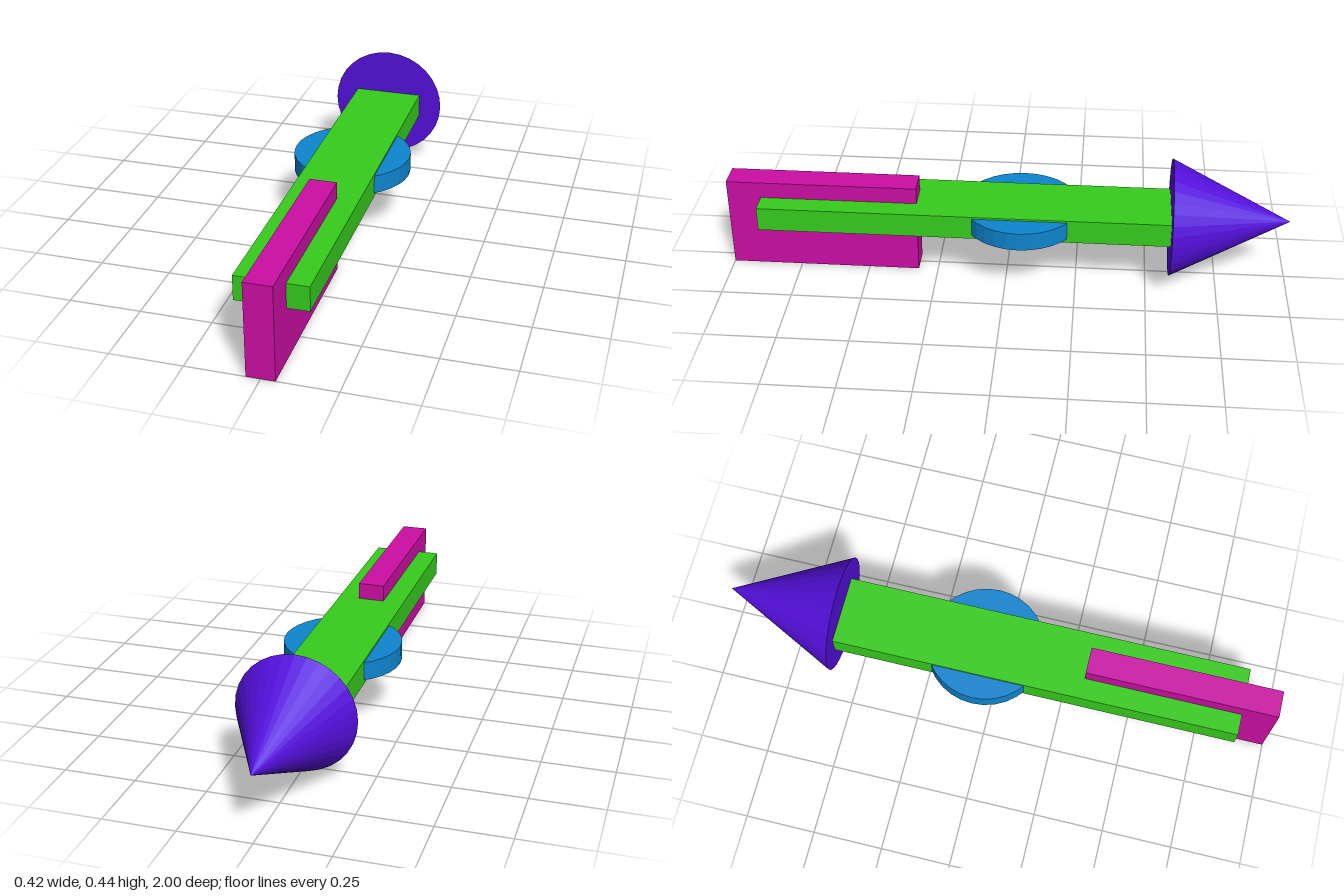
import * as THREE from 'three';

export function createModel() {
  const model = new THREE.Group();

  const add = (name, geometry, color, x, y, z) => {
    const material = new THREE.MeshStandardMaterial({ color, flatShading: true });
    const mesh = new THREE.Mesh(geometry, material);
    mesh.name = name;
    mesh.position.set(x, y, z);
    model.add(mesh);
    return mesh;
  };

  // long flat beam running from the fin to the pointed head
  add('shaft', new THREE.BoxGeometry(0.248, 0.088, 1.46), 0x37cc1d, 0, 0.232, 0.15);

  // upright fin at the front end
  add('tailFin', new THREE.BoxGeometry(0.096, 0.336, 0.68), 0xcc0ea4, 0, 0.168, 0.66);

  // flat disc through the middle of the beam
  add('disc', new THREE.CylinderGeometry(0.209, 0.209, 0.066, 32), 0x0e85cf, 0, 0.236, -0.05);

  // pointed head, tip towards the back
  const head = add('head', new THREE.ConeGeometry(0.208, 0.42, 32), 0x540fdc, 0, 0.234, -0.79);
  head.rotation.x = -Math.PI / 2;

  return model;
}
